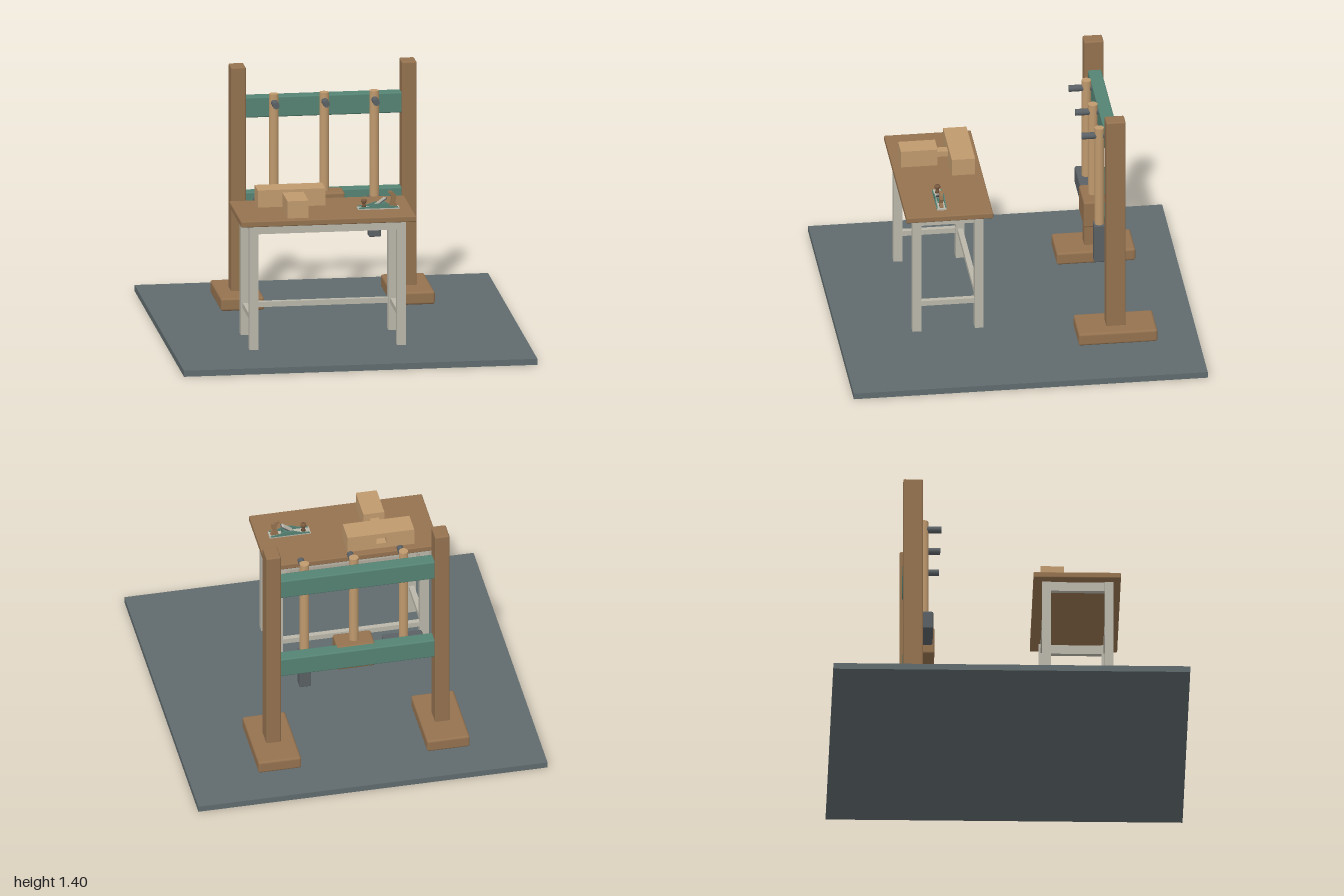
import * as THREE from 'three';
import { RoundedBoxGeometry } from 'three/addons/geometries/RoundedBoxGeometry.js';

function paint(name, color) {
  const m = new THREE.MeshStandardMaterial({ color });
  m.name = name;
  return m;
}

export function createModel() {
  const model = new THREE.Group();
  model.name = 'woodworkingBay';
  const wood = paint('brownWood', 0x94724f);
  const pale = paint('paleWood', 0xc09a6e);
  const green = paint('greenPaint', 0x558373);
  const legPaint = paint('offWhitePaint', 0xbab7aa);
  const steel = paint('darkSteel', 0x5a6064);
  const floorGrey = paint('floorGrey', 0x606b6e);
  const knobWood = paint('darkWood', 0x7a5a40);

  function group(name, parent = model) {
    const g = new THREE.Group();
    g.name = name;
    parent.add(g);
    return g;
  }
  function add(parent, name, geometry, material) {
    const mesh = new THREE.Mesh(geometry, material);
    mesh.name = name;
    parent.add(mesh);
    return mesh;
  }
  // Box given by its limits; a bevel radius rounds the edges
  function box(parent, name, material, [x0, x1], [y0, y1], [z0, z1], r = 0) {
    const size = [x1 - x0, y1 - y0, z1 - z0];
    const geo = r ? new RoundedBoxGeometry(...size, 2, r) : new THREE.BoxGeometry(...size);
    const mesh = add(parent, name, geo, material);
    mesh.position.set((x0 + x1) / 2, (y0 + y1) / 2, (z0 + z1) / 2);
    return mesh;
  }
  // Side outline in x and y, extruded across z
  function slab(parent, name, material, points, z0, z1) {
    const shape = new THREE.Shape(points.map(([x, y]) => new THREE.Vector2(x, y)));
    const geo = new THREE.ExtrudeGeometry(shape, { depth: z1 - z0, bevelEnabled: false });
    geo.translate(0, 0, z0);
    return add(parent, name, geo, material);
  }

  box(model, 'floor', floorGrey, [-1, 1], [0, 0.035], [-1, 1]);

  // Tool rack: two posts on feet, joined by two rails
  const rack = group('toolRack');
  for (const s of [-1, 1]) {
    const x = s * 0.483;
    box(rack, 'rackFoot', wood, [x - 0.123, x + 0.123], [0.035, 0.11], [-0.768, -0.322], 0.014);
    box(rack, 'rackPost', wood, [x - 0.042, x + 0.042], [0.09, 1.4], [-0.598, -0.488], 0.008);
  }
  for (const [y0, y1] of [[0.555, 0.672], [1.102, 1.22]]) {
    box(rack, 'rackRail', green, [-0.46, 0.46], [y0, y1], [-0.585, -0.508], 0.008);
  }

  // Hanging mallets: peg, handle and head
  const mallets = [
    { name: 'sledge', x: -0.285, half: 0.115, y: [0.535, 0.642], depth: 0.052, mat: steel, r: 0.01 },
    { name: 'mallet', x: 0, half: 0.109, y: [0.516, 0.677], depth: 0.065, mat: wood, r: 0.012 },
    { name: 'maul', x: 0.283, half: 0.034, y: [0.405, 0.637], depth: 0.033, mat: steel, r: 0.006 },
  ];
  for (const { name, x, half, y, depth, mat, r } of mallets) {
    const z = -0.479;
    const tool = group(name, rack);
    box(tool, name + 'Head', mat, [x - half, x + half], y, [z - depth, z + depth], r);
    const low = y[1] - 0.04;
    add(tool, name + 'Handle', new THREE.CylinderGeometry(0.027, 0.027, 1.245 - low, 12), pale)
      .position.set(x, (1.245 + low) / 2, z);
    const peg = add(tool, name + 'Peg', new THREE.CylinderGeometry(0.019, 0.019, 0.14, 12), steel);
    peg.rotation.x = Math.PI / 2;
    peg.position.set(x, 1.197, -0.45);
  }

  // Bench: top, legs, aprons and stretchers
  const bench = group('bench');
  box(bench, 'benchTop', wood, [-0.623, 0.368], [0.753, 0.787], [0.13, 0.62], 0.006);
  const legX = [[-0.57, -0.52], [0.265, 0.315]];
  const legZ = [[0.178, 0.228], [0.53, 0.58]];
  for (const lx of legX) {
    for (const lz of legZ) box(bench, 'benchLeg', legPaint, lx, [0.035, 0.755], lz);
    const c = (lx[0] + lx[1]) / 2;
    box(bench, 'sideApron', legPaint, [c - 0.015, c + 0.015], [0.7, 0.755], [0.228, 0.53]);
    box(bench, 'sideStretcher', legPaint, [c - 0.015, c + 0.015], [0.19, 0.22], [0.228, 0.53]);
  }
  for (const lz of legZ) {
    const c = (lz[0] + lz[1]) / 2;
    box(bench, 'longApron', legPaint, [-0.52, 0.265], [0.7, 0.755], [c - 0.015, c + 0.015]);
  }
  box(bench, 'backStretcher', legPaint, [-0.52, 0.265], [0.19, 0.22], [0.188, 0.218]);

  // Joint sample: a block with a through mortise and a block with a tenon
  const joint = group('jointSample');
  const outline = new THREE.Shape([[-0.485, 0.787], [-0.103, 0.787], [-0.103, 0.886], [-0.485, 0.886]]
    .map(([x, y]) => new THREE.Vector2(x, y)));
  outline.holes.push(new THREE.Path([[-0.325, 0.819], [-0.325, 0.855], [-0.268, 0.855], [-0.268, 0.819]]
    .map(([x, y]) => new THREE.Vector2(x, y))));
  const mortise = new THREE.ExtrudeGeometry(outline, { depth: 0.132, bevelEnabled: false });
  mortise.translate(0, 0, 0.172);
  add(joint, 'mortiseBlock', mortise, pale);
  box(joint, 'tenonBlock', pale, [-0.355, -0.235], [0.787, 0.886], [0.367, 0.575]);
  box(joint, 'tenon', pale, [-0.323, -0.27], [0.821, 0.853], [0.285, 0.37]);

  // Hand plane: sole, cheeks, knob, iron and handle
  const plane = group('handPlane');
  const mid = 0.412;
  box(plane, 'planeSole', legPaint, [0.063, 0.298], [0.787, 0.796], [mid - 0.027, mid + 0.027]);
  const cheek = [[0.068, 0.794], [0.293, 0.794], [0.288, 0.802], [0.245, 0.806],
    [0.205, 0.822], [0.165, 0.82], [0.12, 0.804], [0.072, 0.801]];
  slab(plane, 'planeCheek', green, cheek, mid - 0.028, mid - 0.022);
  slab(plane, 'planeCheek', green, cheek, mid + 0.022, mid + 0.028);
  slab(plane, 'planeFrog', green, [[0.165, 0.795], [0.225, 0.795], [0.222, 0.825]], mid - 0.014, mid + 0.014);
  slab(plane, 'planeIron', steel, [[0.155, 0.796], [0.162, 0.796], [0.23, 0.845], [0.224, 0.848]],
    mid - 0.018, mid + 0.018);
  slab(plane, 'leverCap', legPaint, [[0.165, 0.806], [0.224, 0.848], [0.214, 0.849], [0.162, 0.811]],
    mid - 0.015, mid + 0.015);
  const knob = [[0, 0], [0.014, 0], [0.008, 0.016], [0.011, 0.026], [0.017, 0.034], [0.015, 0.045], [0, 0.049]];
  add(plane, 'frontKnob', new THREE.LatheGeometry(knob.map(([x, y]) => new THREE.Vector2(x, y)), 16), knobWood)
    .position.set(0.1, 0.796, mid);
  slab(plane, 'rearHandle', wood, [[0.242, 0.795], [0.288, 0.795], [0.286, 0.806], [0.276, 0.822], [0.284, 0.845],
    [0.278, 0.866], [0.258, 0.884], [0.242, 0.884], [0.238, 0.876], [0.25, 0.866], [0.256, 0.845], [0.25, 0.82]],
    mid - 0.01, mid + 0.01);

  return model;
}
